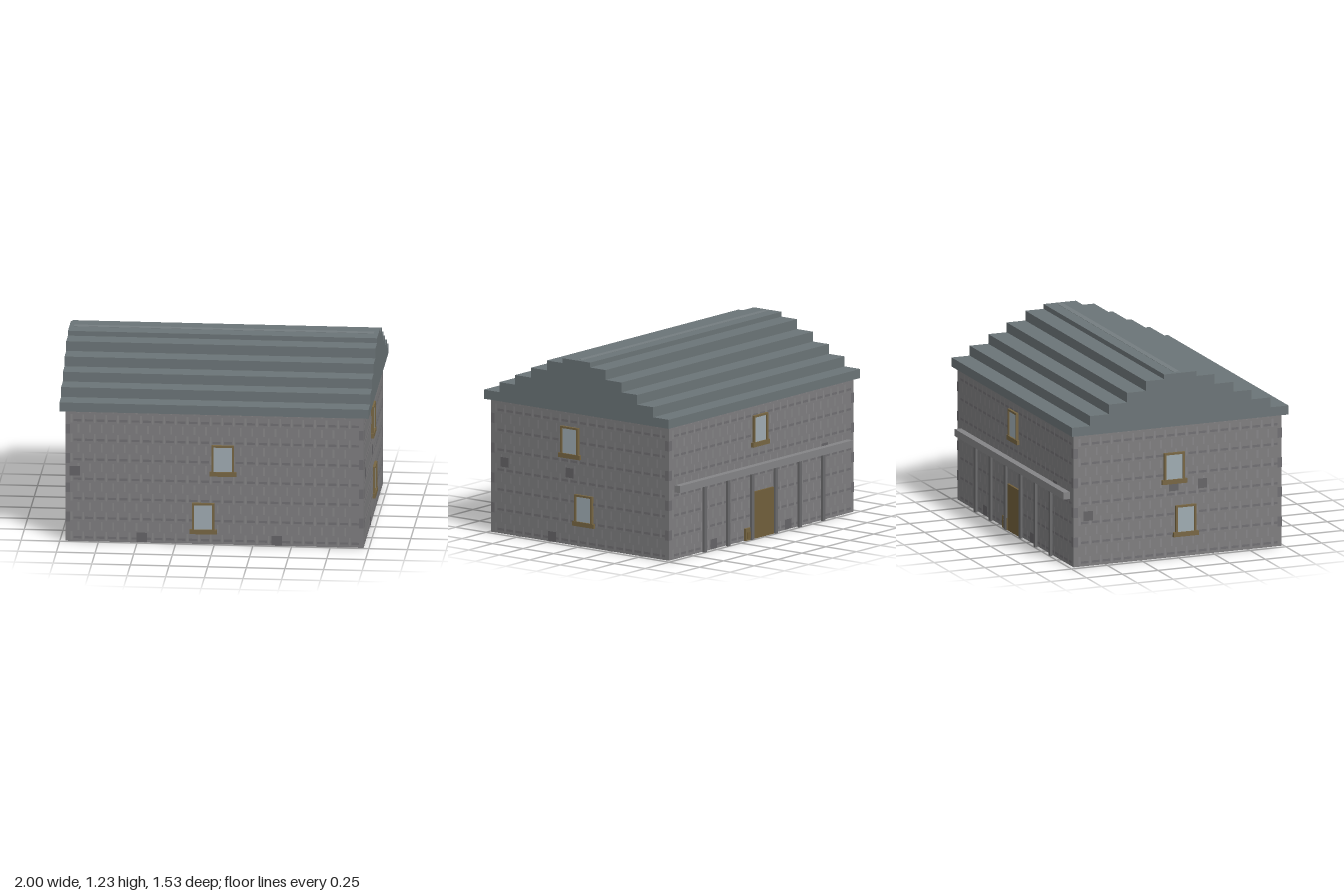
import * as THREE from 'three';
import { mergeGeometries } from 'three/addons/utils/BufferGeometryUtils.js';

const mat = (color) => new THREE.MeshStandardMaterial({ color, flatShading: true });
const M = {
  wall: mat(0x7e7d7f), joint: mat(0x868587), course: mat(0x706f72), darkStone: mat(0x656467),
  roof: mat(0x6b7477), ridge: mat(0x747d80), frame: mat(0x776643), glass: mat(0x9fabb2),
  door: mat(0x715f3b), beam: mat(0x848486), post: mat(0x6a6a6c),
};

// Box geometry from minimum to maximum corner
const boxGeo = (x0, x1, y0, y1, z0, z1) =>
  new THREE.BoxGeometry(x1 - x0, y1 - y0, z1 - z0)
    .translate((x0 + x1) / 2, (y0 + y1) / 2, (z0 + z1) / 2);

function add(parent, name, material, ...boxes) {
  const mesh = new THREE.Mesh(mergeGeometries(boxes.map((b) => boxGeo(...b))), material);
  mesh.name = name;
  parent.add(mesh);
  return mesh;
}

// Flat patch lying just in front of a wall face
const patch = (u0, u1, y0, y1, lift) =>
  new THREE.PlaneGeometry(u1 - u0, y1 - y0).translate((u0 + u1) / 2, (y0 + y1) / 2, lift);

function addPatches(parent, name, material, list, lift) {
  const mesh = new THREE.Mesh(mergeGeometries(list.map((p) => patch(...p, lift))), material);
  mesh.name = name;
  parent.add(mesh);
}

const WALL_H = 0.878, WX = 0.965, ZF = 0.735, ZB = -0.72;

// Framed window with a wider sill; y is the underside of the sill
function addWindow(side, u, y) {
  const g = new THREE.Group();
  g.name = 'window';
  g.position.set(u, y, 0);
  const w = 0.072, t = 0.013, d = 0.017, s = 0.03, h = 0.207;
  add(g, 'windowFrame', M.frame,
    [-w, -w + t, s, h, 0, d], [w - t, w, s, h, 0, d], [-w + t, w - t, h - t, h, 0, d]);
  add(g, 'windowSill', M.frame, [-0.087, 0.087, 0, s, 0, d + 0.002]);
  add(g, 'windowPane', M.glass, [-w + t, w - t, s, h - t, 0, 0.009]);
  side.add(g);
}

// Masonry relief for one wall face spanning u0..u1
function addMasonry(side, u0, u1) {
  const row = 0.0655, joints = [], courses = [], quoins = [];
  for (let r = 0; r * row < WALL_H - 0.02; r++) {
    const y = r * row, top = Math.min(y + row, WALL_H);
    const shift = (r % 2) * 0.045;
    for (let u = u0 + 0.035 + shift; u < u1 - 0.06; u += 0.075) {
      joints.push([u, u + 0.011, y + 0.01, top]);
      if (r % 2 === 0) courses.push([u + 0.017, Math.min(u + 0.069, u1 - 0.03), y + 0.019, y + 0.034]);
    }
    if (r % 3 === 2) quoins.push([u0, u0 + 0.03, y, top], [u1 - 0.03, u1, y, top]);
  }
  addPatches(side, 'mortarJoints', M.joint, joints, 0.001);
  addPatches(side, 'stoneCourses', M.course, courses, 0.0015);
  addPatches(side, 'cornerStones', M.course, quoins, 0.002);
}

export function createModel() {
  const house = new THREE.Group();
  house.name = 'house';

  add(house, 'walls', M.wall, [-WX, WX, 0, WALL_H, ZB, ZF]);

  // Four faces: turn, distance, extent, windows [u, y], dark stones [u, y]
  const faces = [
    { name: 'frontFace', turn: 0, dist: ZF, ext: [-WX, WX],
      windows: [[0.055, 0.46], [-0.072, 0.07]],
      stones: [[-0.903, 0.44], [-0.47, 0.003], [0.403, 0.003]] },
    { name: 'leftFace', turn: Math.PI / 2, dist: WX, ext: [-ZF, -ZB],
      windows: [[-0.085, 0.57], [0.03, 0.133]],
      stones: [[-0.625, 0.44], [-0.092, 0.44], [-0.235, 0.003]] },
    { name: 'backFace', turn: Math.PI, dist: -ZB, ext: [-WX, WX],
      windows: [[-0.02, 0.603]],
      stones: [[0.66, 0.44], [-0.5, 0.003], [0.28, 0.003]] },
    { name: 'rightFace', turn: -Math.PI / 2, dist: WX, ext: [ZB, ZF],
      windows: [[-0.02, 0.49], [0.06, 0.135]],
      stones: [[0.18, 0.44], [-0.02, 0.44], [-0.62, 0.3]] },
  ];
  for (const f of faces) {
    const pivot = new THREE.Group();
    pivot.name = f.name;
    pivot.rotation.y = f.turn;
    const side = new THREE.Group();
    side.name = f.name + 'Details';
    side.position.z = f.dist;
    pivot.add(side);
    addMasonry(side, ...f.ext);
    addPatches(side, 'darkStones', M.darkStone,
      f.stones.map(([u, y]) => [u - 0.033, u + 0.033, y, y + 0.064]), 0.0025);
    f.windows.forEach(([u, y]) => addWindow(side, u, y));
    house.add(pivot);
  }

  // Stepped gable roof extruded along the ridge from its stepped outline
  const mid = 0.011;
  const halves = [0.757, 0.63, 0.5, 0.371, 0.241, 0.113];
  const tops = [0.938, 1.004, 1.068, 1.133, 1.198, 1.23];
  const right = [];
  halves.forEach((h, i) => right.push([h, i ? tops[i - 1] : WALL_H], [h, tops[i]]));
  const outline = [
    ...right.map(([h, y]) => new THREE.Vector2(h - mid, y)),
    ...right.reverse().map(([h, y]) => new THREE.Vector2(-h - mid, y)),
  ];
  const roofGeo = new THREE.ExtrudeGeometry(new THREE.Shape(outline), { depth: 2, bevelEnabled: false });
  const roof = new THREE.Mesh(roofGeo.rotateY(Math.PI / 2).translate(-1, 0, 0), M.roof);
  roof.name = 'steppedRoof';
  house.add(roof);
  add(house, 'ridgeStrip', M.ridge, [-0.97, 0.97, 1.22, 1.2315, -0.02, 0.02]);

  // Back porch: beam carried by six slim posts
  add(house, 'porchBeam', M.beam, [-0.903, 0.903, 0.44, 0.487, -0.765, ZB]);
  for (let i = 0; i < 6; i++) {
    const x = -0.625 + i * 0.248;
    add(house, 'porchPost', M.post, [x - 0.014, x + 0.014, 0, 0.44, -0.747, -0.732]);
  }

  // Back door and the small framed box beside it
  add(house, 'door', M.door, [-0.113, 0.1, 0, 0.308, -0.735, ZB]);
  add(house, 'doorsideBox', M.frame, [0.1, 0.18, 0.0, 0.08, -0.737, ZB]);
  add(house, 'doorsidePanel', M.door, [0.12, 0.168, 0.012, 0.055, -0.739, -0.73]);

  return house;
}
